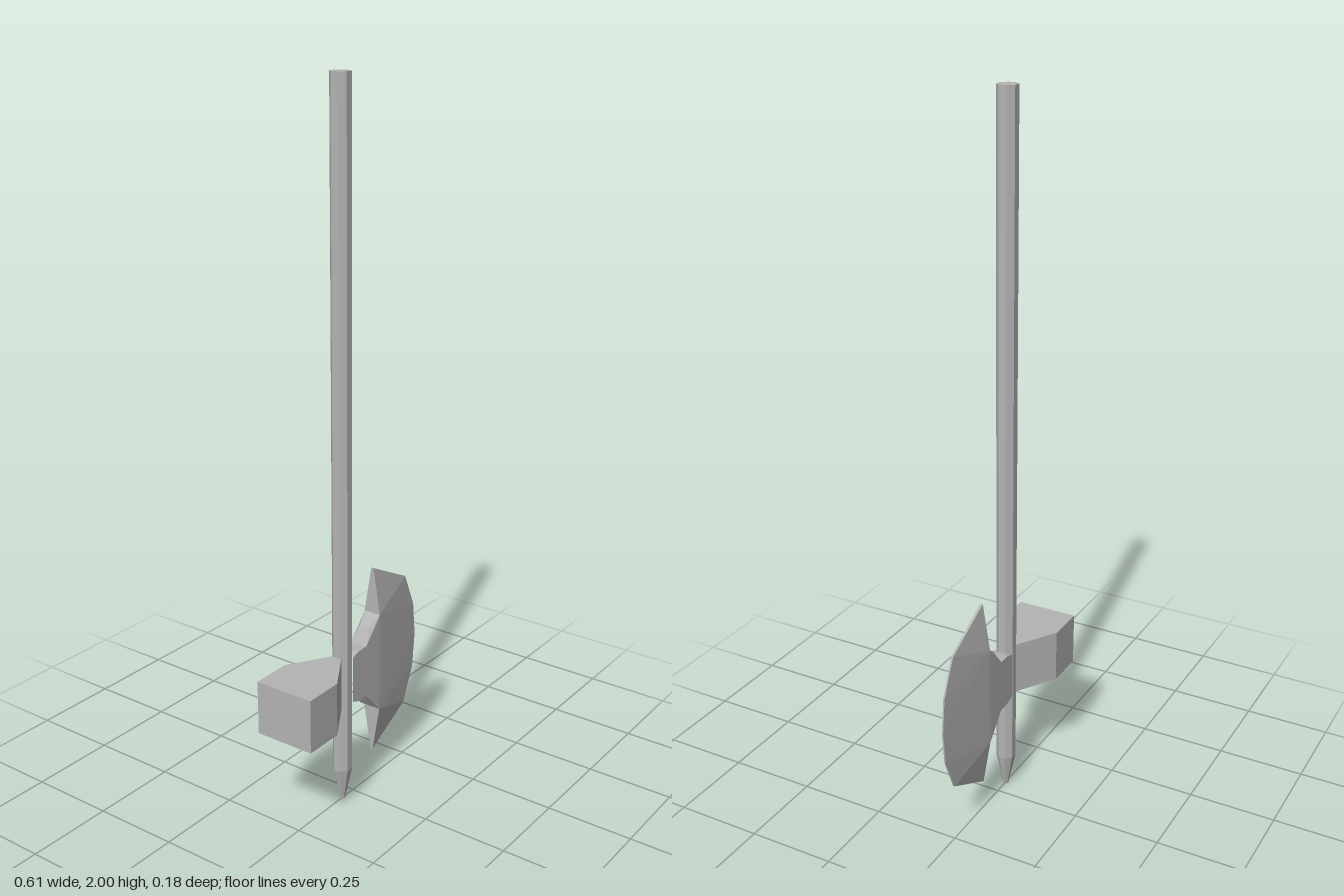
import * as THREE from 'three';

const steel = new THREE.MeshStandardMaterial({ color: 0xb4b4b4, flatShading: true });
steel.name = 'grey steel';

const POLE_X = -0.049, HEAD_Y = 0.377;

function part(name, geometry, x, y) {
  const mesh = new THREE.Mesh(geometry, steel);
  mesh.name = name;
  mesh.position.set(x, y, 0);
  return mesh;
}

// Eight-sided rod with flats facing front and sides
function rod(top, bottom, height, open) {
  return new THREE.CylinderGeometry(top, bottom, height, 8, 1, open).rotateY(Math.PI / 8);
}

// Axe blade and neck: one quarter mirrored up/down and front/back
function bladeGeometry() {
  // Upper outline from the pole to the cutting edge: x, height, half thickness
  const outline = [
    [-0.035, 0.068, 0.026], [-0.022, 0.075, 0.013], [-0.01, 0.077, 0.026],
    [0.028, 0.077, 0.026], [0.055, 0.123, 0.014], [0.092, 0.148, 0.026],
    [0.092, 0.285, 0.004], [0.25, 0.203, 0.003], [0.295, 0.1, 0.002], [0.305, 0, 0.002],
  ];
  const root = [-0.035, 0, 0.026], middle = [0.092, 0, 0.026];
  const T = outline;
  const quarter = [
    // neck cheek
    [root, middle, T[3]], [root, T[3], T[2]], [root, T[2], T[0]],
    [T[0], T[2], T[1]], [T[3], T[5], T[4]], [middle, T[5], T[3]],
    // bevel fanning out to the edge
    [middle, T[9], T[5]], [T[9], T[8], T[5]], [T[8], T[7], T[5]], [T[7], T[6], T[5]],
  ];
  // rim down to the centre plane
  for (let i = 0; i < T.length - 1; i++) {
    const a = T[i], b = T[i + 1];
    const a0 = [a[0], a[1], 0], b0 = [b[0], b[1], 0];
    quarter.push([a, b, b0], [a, b0, a0]);
  }
  const positions = [];
  for (const sy of [1, -1]) {
    for (const sz of [1, -1]) {
      for (const [a, b, c] of quarter) {
        const order = sy * sz > 0 ? [a, b, c] : [a, c, b];
        for (const p of order) positions.push(p[0], p[1] * sy, p[2] * sz);
      }
    }
  }
  const geometry = new THREE.BufferGeometry();
  geometry.setAttribute('position', new THREE.Float32BufferAttribute(positions, 3));
  geometry.computeVertexNormals();
  return geometry;
}

// Hammer: plan outline flaring away from the pole, raised straight up
function hammerGeometry() {
  const plan = new THREE.Shape([
    [-0.305, -0.088], [-0.19, -0.088], [-0.07, -0.013],
    [-0.07, 0.013], [-0.19, 0.088], [-0.305, 0.088],
  ].map(([x, z]) => new THREE.Vector2(x, z)));
  return new THREE.ExtrudeGeometry(plan, { depth: 0.154, bevelEnabled: false })
    .rotateX(-Math.PI / 2).translate(0, -0.077, 0);
}

export function createModel() {
  const model = new THREE.Group();
  model.name = 'poleAxe';
  model.add(
    part('pole', rod(0.028, 0.028, 1.9, false), POLE_X, 1.05),
    part('spike', rod(0.028, 0.007, 0.1, false), POLE_X, 0.05),
    part('axeBlade', bladeGeometry(), 0, HEAD_Y),
    part('hammer', hammerGeometry(), 0, HEAD_Y),
  );
  return model;
}
